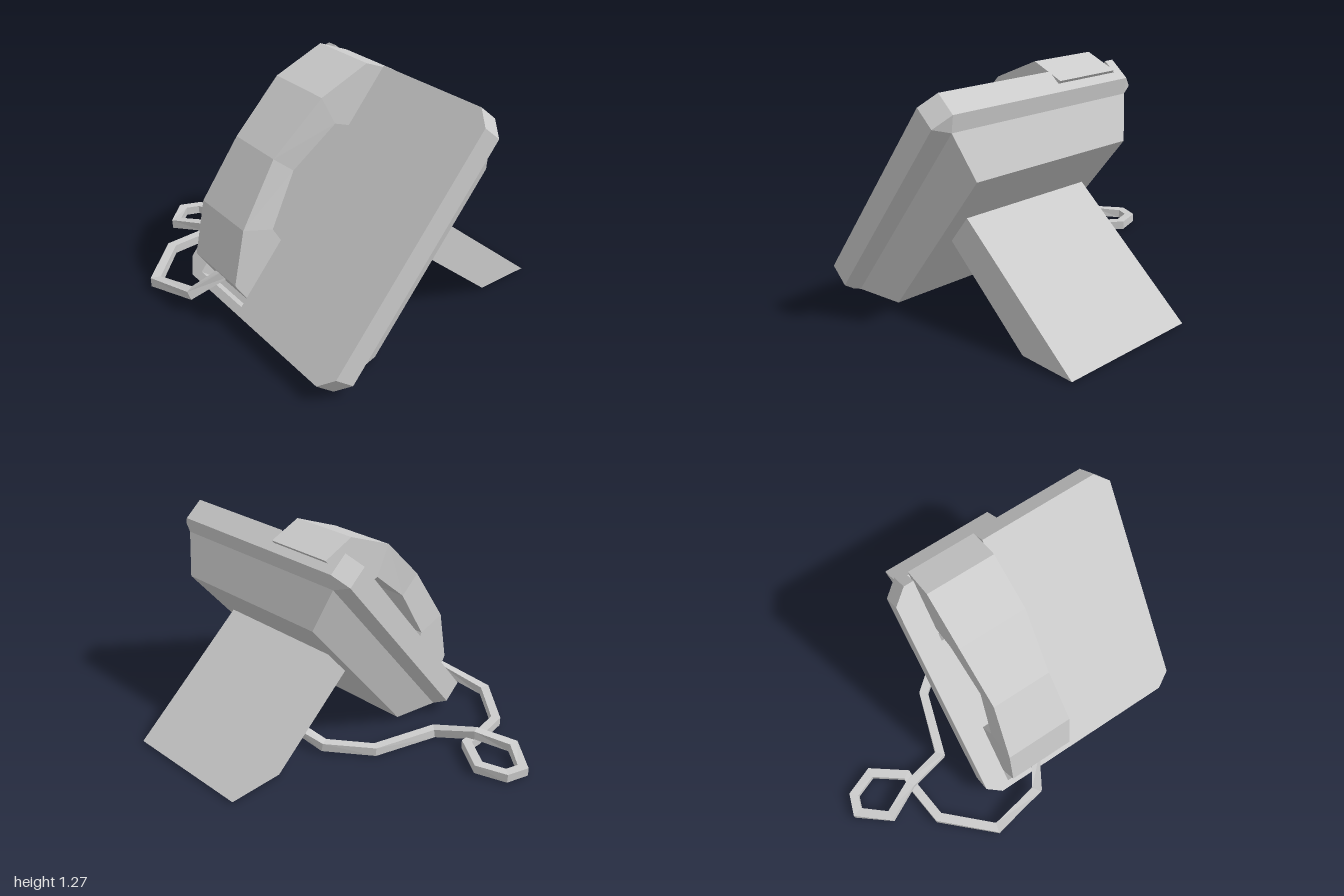
import * as THREE from 'three';

const material = new THREE.MeshStandardMaterial({ color: 0xcccccc, flatShading: true });
const V = (x, y, z) => new THREE.Vector3(x, y, z);

function part(name, geometry, parent) {
  const mesh = new THREE.Mesh(geometry, material);
  mesh.name = name;
  parent.add(mesh);
  return mesh;
}

// Closed solid through equal-length loops, counter-clockwise about the direction of travel
function loft(loops) {
  const out = [];
  const tri = (...ps) => ps.forEach((p) => out.push(p.x, p.y, p.z));
  const n = loops[0].length;
  for (let k = 0; k < loops.length - 1; k++) {
    const a = loops[k], b = loops[k + 1];
    for (let i = 0; i < n; i++) {
      const j = (i + 1) % n;
      tri(a[i], a[j], b[j]);
      tri(a[i], b[j], b[i]);
    }
  }
  const first = loops[0], last = loops[loops.length - 1];
  for (let i = 1; i < n - 1; i++) {
    tri(first[0], first[i + 1], first[i]);
    tri(last[0], last[i], last[i + 1]);
  }
  const g = new THREE.BufferGeometry();
  g.setAttribute('position', new THREE.Float32BufferAttribute(out, 3));
  g.computeVertexNormals();
  return g;
}

// Rectangle with corners cut by c
const cutRect = (x0, x1, y0, y1, c, z) => [
  V(x0 + c, y0, z), V(x1 - c, y0, z), V(x1, y0 + c, z), V(x1, y1 - c, z),
  V(x1 - c, y1, z), V(x0 + c, y1, z), V(x0, y1 - c, z), V(x0, y0 + c, z),
];

// Square-section cord along a polyline, mitred at the bends
function cord(points, w) {
  const up = V(0, 1, 0);
  return loft(points.map((p, i) => {
    const before = p.clone().sub(points[Math.max(i - 1, 0)]).normalize();
    const after = points[Math.min(i + 1, points.length - 1)].clone().sub(p).normalize();
    const t = before.clone().add(after).normalize();
    const miter = Math.min(1.4, 1 / Math.max(t.dot(i ? before : after), 0.1));
    const r = up.clone().cross(t).normalize();
    const n = t.clone().cross(r);
    return [[1, 1], [-1, 1], [-1, -1], [1, -1]].map(([a, b]) =>
      p.clone().addScaledVector(r, a * w * miter).addScaledVector(n, b * w));
  }));
}

export function createModel() {
  const model = new THREE.Group();
  model.name = 'deskPhone';

  // Leaning base: local y runs up the plate, local z out of its front
  const base = new THREE.Group();
  base.name = 'leaningBase';
  base.rotation.x = -0.688;
  base.position.set(0, 0.105, 0.7);
  model.add(base);

  // Front plate with a notch at the top and a pocket at the bottom for the handset
  const X0 = -0.29, X1 = 1, H = 1.469, C = 0.08, slotL = -0.155, slotR = 0.245, depth = 0.08;
  const outline = cutRect(X0, X1, 0, H, C, 0).map((p) => new THREE.Vector2(p.x, p.y));
  const notch = [[slotR, H], [slotR, 1.09], [slotL, 1.09], [slotL, H]]
    .map(([x, y]) => new THREE.Vector2(x, y));
  outline.splice(5, 0, ...notch);
  const plate = new THREE.Shape(outline);
  plate.holes.push(new THREE.Path([[slotL, 0.045], [slotL, 0.479], [slotR, 0.479], [slotR, 0.045]]
    .map(([x, y]) => new THREE.Vector2(x, y))));
  part('frontPlate', new THREE.ExtrudeGeometry(plate, { depth, bevelEnabled: false }), base)
    .position.z = -depth;

  // Back housing, tapering away from the plate
  part('backHousing', loft([
    cutRect(-0.135, 0.845, 0.2, 1.266, 0, -0.371),
    cutRect(-0.21, 0.92, 0.065, 1.395, 0, -0.172),
    cutRect(X0, X1, 0, H, C, -0.129),
    cutRect(X0, X1, 0, H, C, -depth),
  ]), base);

  // Handset: [outer y, outer z, inner y, inner z, half width], mirrored about its middle
  const mid = 0.78, cx = 0.0475;
  const half = [
    [0.075, -0.078, 0.41, -0.078, 0.193],
    [0.133, 0.107, 0.442, 0, 0.193],
    [0.403, 0.25, 0.472, 0.083, 0.193],
  ];
  const stations = [
    ...half,
    [mid, 0.296, mid, 0.143, 0.168],
    ...half.slice().reverse().map(([a, b, c, d, w]) => [2 * mid - a, b, 2 * mid - c, d, w]),
  ];
  part('handset', loft(stations.map(([oy, oz, iy, iz, w]) => [
    V(cx - w, oy, oz), V(cx + w, oy, oz), V(cx + w, iy, iz), V(cx - w, iy, iz),
  ])), base);

  // Rear stand, a slanted slab
  const leg = [[0.65, -0.12], [0.512, 0.02], [0.02, -0.567], [0.02, -0.888]];
  part('rearStand', loft([-0.04, 0.745].map((x) => leg.map(([y, z]) => V(x, y, z)))), model);

  // Cord from the handset, through a loop on the table, to the back of the housing
  part('cord', cord([
    V(0.06, 0.25, 0.62), V(-0.04, 0.12, 0.8), V(-0.345, 0.05, 0.855), V(-0.595, 0.05, 0.62),
    V(-0.62, 0.045, 0.4), V(-0.62, 0.05, 0.31), V(-0.79, 0.05, 0.185), V(-0.935, 0.04, 0.24),
    V(-0.97, 0.04, 0.34), V(-0.82, 0.06, 0.465), V(-0.63, 0.1, 0.375), V(-0.39, 0.035, 0.31),
    V(-0.27, 0.035, -0.06), V(-0.05, 0.05, -0.24), V(0.1, 0.09, -0.265), V(0.28, 0.28, 0.1),
  ], 0.025), model);

  return model;
}
